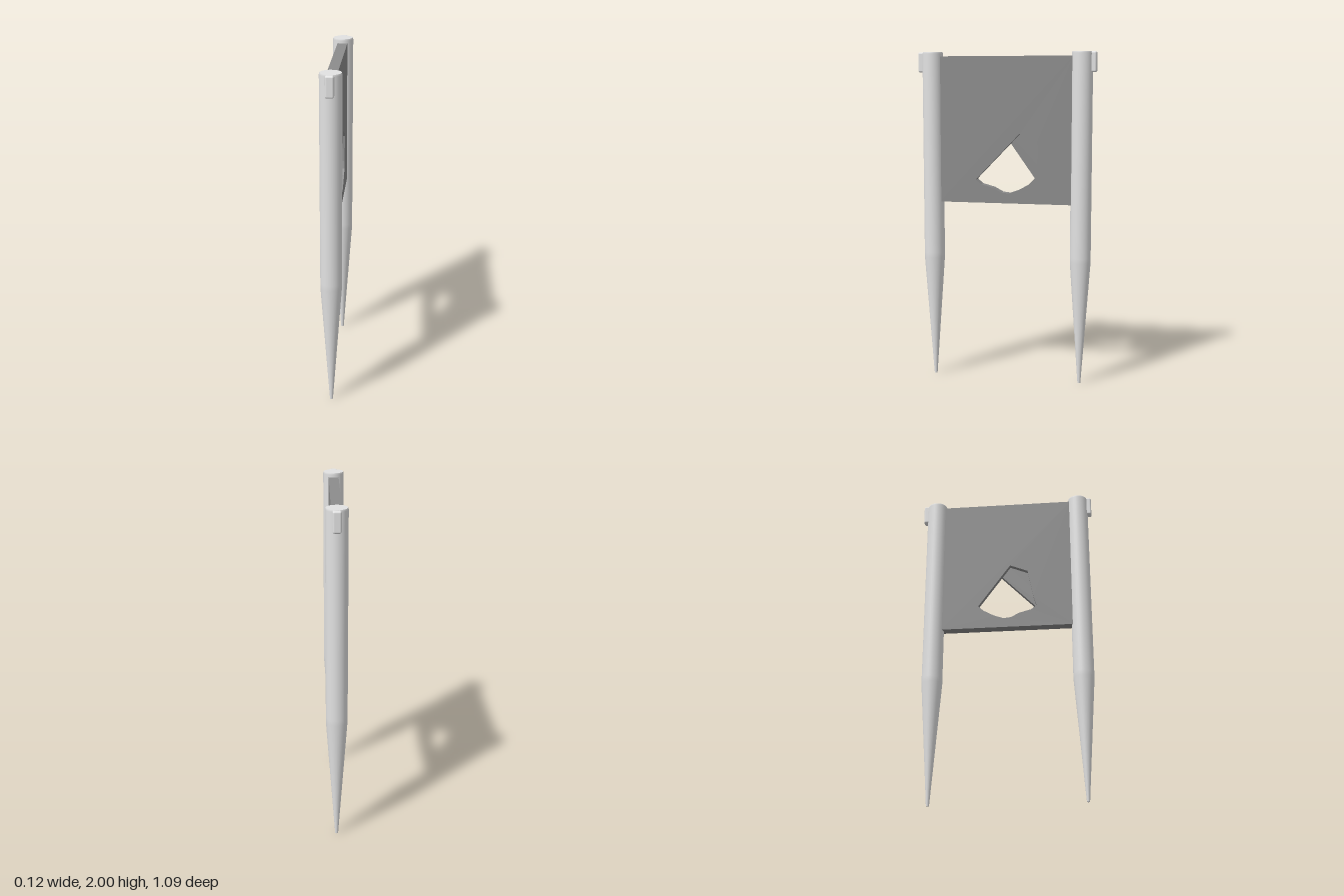
import * as THREE from 'three';
import { RoundedBoxGeometry } from 'three/addons/geometries/RoundedBoxGeometry.js';

// Shared lower edge of the opening, as [z, y]
const lowerEdge = [
  [0.183, 1.237], [0.15, 1.21], [0.077, 1.19], [0.024, 1.162], [-0.02, 1.157],
  [-0.08, 1.178], [-0.146, 1.215], [-0.178, 1.247],
];
// Upper edges differ on the two sides of the panel
const leftUpperEdge = [[-0.19, 1.29], [-0.2, 1.37], [-0.2, 1.448], [-0.19, 1.462], [-0.088, 1.517]];
const rightUpperEdge = [[0.02, 1.525], [0.13, 1.48], [0.165, 1.3]];

// Half-thickness slab with its own opening, extruded along +x from x0
function panelHalf(upperEdge, x0, material, name) {
  const shape = new THREE.Shape([[-0.41, 1.097], [0.41, 1.097], [0.41, 1.975], [-0.41, 1.975]]
    .map(([u, y]) => new THREE.Vector2(u, y)));
  shape.holes.push(new THREE.Path([...lowerEdge, ...upperEdge]
    .map(([z, y]) => new THREE.Vector2(-z, y))));
  const geometry = new THREE.ExtrudeGeometry(shape, { depth: 0.03, bevelEnabled: false });
  geometry.rotateY(Math.PI / 2).translate(x0, 0, 0);
  const mesh = new THREE.Mesh(geometry, material);
  mesh.name = name;
  return mesh;
}

export function createModel() {
  const group = new THREE.Group();
  group.name = 'stakedPanel';
  const postMaterial = new THREE.MeshStandardMaterial({ color: 0xe2e2e2 });
  postMaterial.name = 'light grey';
  const panelMaterial = new THREE.MeshStandardMaterial({ color: 0x8c8c8c });
  panelMaterial.name = 'mid grey';

  // Panel
  group.add(panelHalf(leftUpperEdge, 0, panelMaterial, 'panelLeftHalf'));
  group.add(panelHalf(rightUpperEdge, -0.03, panelMaterial, 'panelRightHalf'));

  // Pointed posts, each with a small lug on its outer side
  const profile = [[0, 0], [0.009, 0], [0.009, 0], [0.0625, 0.75], [0.0625, 0.78],
    [0.0625, 1.99], [0.0595, 2], [0.0595, 2], [0, 2]].map(([r, y]) => new THREE.Vector2(r, y));
  const postGeometry = new THREE.LatheGeometry(profile, 32);
  const lugGeometry = new RoundedBoxGeometry(0.048, 0.12, 0.13, 3, 0.01);
  for (const [side, name] of [[1, 'front'], [-1, 'back']]) {
    const post = new THREE.Mesh(postGeometry, postMaterial);
    post.name = name + 'Post';
    post.position.z = side * 0.4565;
    const lug = new THREE.Mesh(lugGeometry, postMaterial);
    lug.name = name + 'Lug';
    lug.position.set(0, 1.9395, side * 0.478);
    group.add(post, lug);
  }
  return group;
}
